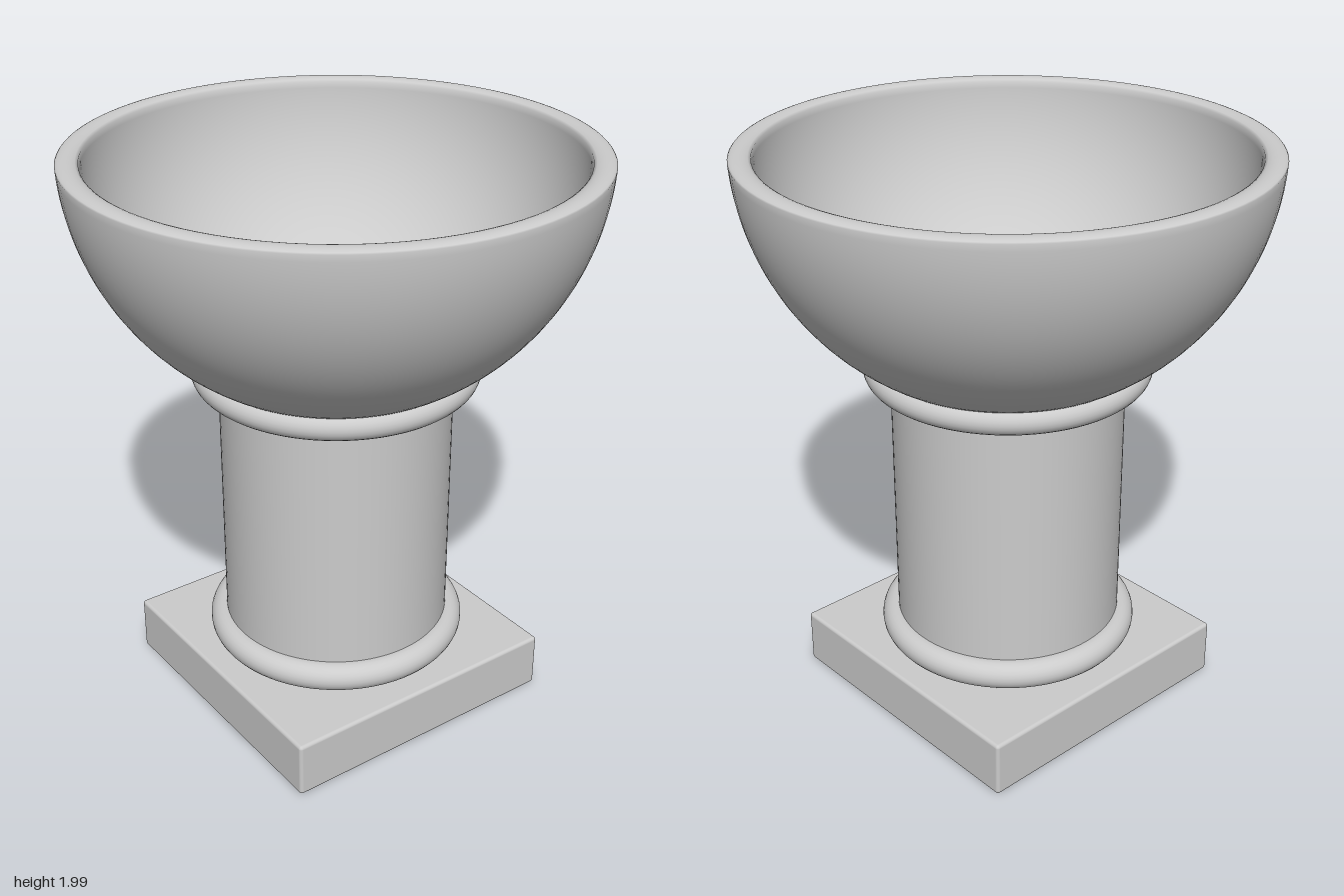
import * as THREE from 'three';
import { RoundedBoxGeometry } from 'three/addons/geometries/RoundedBoxGeometry.js';

export function createModel() {
  const group = new THREE.Group();
  const material = new THREE.MeshStandardMaterial({ color: 0xcccccc });
  const add = (name, geometry, y) => {
    const mesh = new THREE.Mesh(geometry, material);
    mesh.name = name;
    mesh.position.y = y;
    group.add(mesh);
    return mesh;
  };

  // Square plinth with softened edges
  add('plinth', new RoundedBoxGeometry(1.04, 0.2, 1.04, 3, 0.012), 0.105);

  // Round column
  add('column', new THREE.CylinderGeometry(0.397, 0.397, 1.08, 96), 0.74);

  // Rounded collars at the foot and head of the column
  const collar = (name, outer, bottom, top) => {
    const tube = (top - bottom) / 2;
    const geometry = new THREE.TorusGeometry(outer - tube, tube, 24, 96);
    geometry.rotateX(Math.PI / 2);
    add(name, geometry, (bottom + top) / 2);
  };
  collar('lowerCollar', 0.455, 0.205, 0.307);
  collar('upperCollar', 0.487, 1.2, 1.295);

  // Bowl: spherical outside, softly rounded rim, spherical inside with a flat floor
  const centre = 2.02;
  const arc = (radius, from, to, steps) => {
    const points = [];
    for (let i = 0; i <= steps; i++) {
      const y = from + (to - from) * i / steps;
      points.push(new THREE.Vector2(Math.sqrt(radius ** 2 - (y - centre) ** 2), y));
    }
    return points;
  };
  const rim = new THREE.CubicBezierCurve(
    new THREE.Vector2(0.87, 1.985), new THREE.Vector2(0.862, 1.997),
    new THREE.Vector2(0.82, 2.004), new THREE.Vector2(0.797, 1.985));
  const profile = [
    new THREE.Vector2(0, 1.28),
    ...arc(0.87, 1.28, 1.985, 32),
    ...rim.getPoints(8).slice(1),
    ...arc(0.798, 1.985, 1.29, 32).slice(1),
    new THREE.Vector2(0, 1.285),
  ];
  add('bowl', new THREE.LatheGeometry(profile, 96), 0);

  return group;
}
